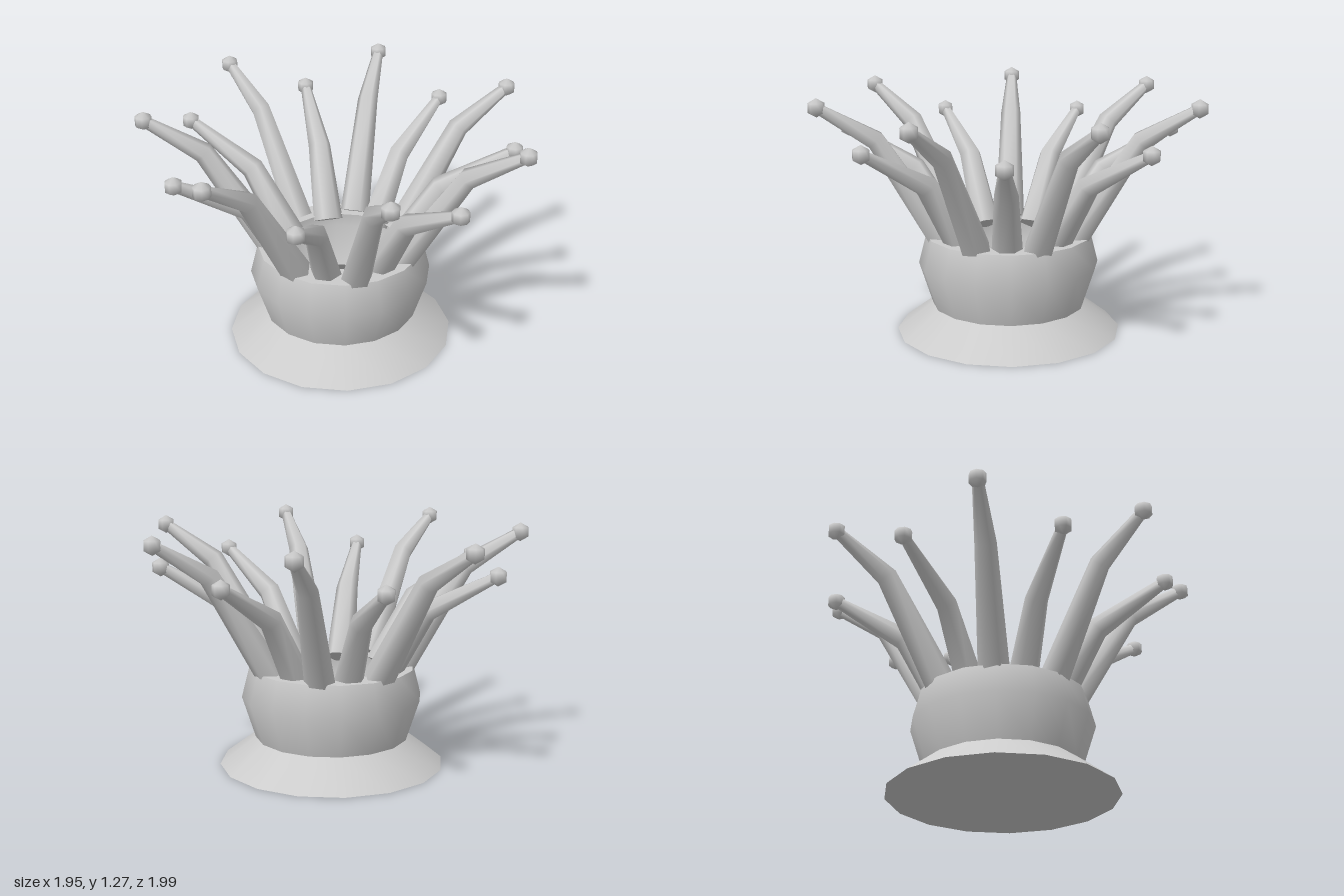
import * as THREE from 'three';

const material = new THREE.MeshStandardMaterial({ color: 0xcccccc, side: THREE.DoubleSide });
const SPIKES = 14;
const SIDES = 6;

function addMesh(parent, name, geometry) {
  const mesh = new THREE.Mesh(geometry, material);
  mesh.name = name;
  parent.add(mesh);
  return mesh;
}

// Ring of revolution from [radius, height] pairs
function lathe(points, segments = 16) {
  return new THREE.LatheGeometry(points.map(([r, y]) => new THREE.Vector2(r, y)), segments);
}

// Bent tapering spike: hexagonal sections [radius out, height, thickness] swept in the xy plane
function spikeGeometry(sections) {
  const pos = [], index = [];
  const points = sections.map(([x, y]) => new THREE.Vector2(x, y));
  const ring = (i) => {
    const before = points[Math.max(i - 1, 0)], after = points[Math.min(i + 1, points.length - 1)];
    const inDir = points[i].clone().sub(before).normalize();
    const outDir = after.clone().sub(points[i]).normalize();
    const dir = inDir.add(outDir).normalize();
    for (let k = 0; k < SIDES; k++) {
      const t = ((k + 0.5) / SIDES) * Math.PI * 2;
      const r = sections[i][2], c = r * Math.cos(t);
      pos.push(points[i].x + dir.y * c, points[i].y - dir.x * c, r * Math.sin(t));
    }
  };
  sections.forEach((_, i) => ring(i));
  for (let i = 0; i < sections.length - 1; i++) {
    for (let k = 0; k < SIDES; k++) {
      const a = i * SIDES + k, b = i * SIDES + ((k + 1) % SIDES);
      index.push(a, a + SIDES, b, b, a + SIDES, b + SIDES);
    }
  }
  // Flat cap at the root, with its own corners to keep the edge sharp
  const cap = pos.length / 3;
  ring(0);
  for (let k = 1; k < SIDES - 1; k++) index.push(cap, cap + k, cap + k + 1);
  const geometry = new THREE.BufferGeometry();
  geometry.setAttribute('position', new THREE.Float32BufferAttribute(pos, 3));
  geometry.setIndex(index);
  geometry.computeVertexNormals();
  return geometry;
}

export function createModel() {
  const model = new THREE.Group();
  model.name = 'spikedCrown';
  const crown = new THREE.Group();
  crown.name = 'crown';
  crown.position.x = -0.05;
  model.add(crown);

  // Flared foot with closed underside
  addMesh(crown, 'footUnderside', lathe([[0, 0], [0.595, 0]]));
  addMesh(crown, 'foot', lathe([[0.595, 0], [0.405, 0.145]]));

  // Bulging band and its flat open rim
  addMesh(crown, 'band', lathe([[0.405, 0.145], [0.476, 0.365], [0.435, 0.525]]));
  addMesh(crown, 'rim', lathe([[0.435, 0.525], [0.31, 0.525]]));

  // Alternating long and short spikes, each tipped with a bead
  const kinds = [
    [[0.36, 0.52, 0.08], [0.69, 1.05, 0.055], [0.98, 1.225, 0.028]],
    [[0.30, 0.50, 0.08], [0.515, 0.85, 0.06], [0.883, 1.055, 0.028]],
  ];
  const spikes = kinds.map(spikeGeometry);
  const bead = new THREE.SphereGeometry(0.049, 8, 3);
  for (let i = 0; i < SPIKES; i++) {
    const kind = i % 2;
    const arm = new THREE.Group();
    arm.name = kind ? 'shortSpike' : 'longSpike';
    arm.rotation.y = (i / SPIKES) * Math.PI * 2;
    addMesh(arm, 'spikeShaft', spikes[kind]);
    const [x, y] = kinds[kind][2];
    addMesh(arm, 'spikeBead', bead).position.set(x, y, 0);
    crown.add(arm);
  }
  return model;
}
